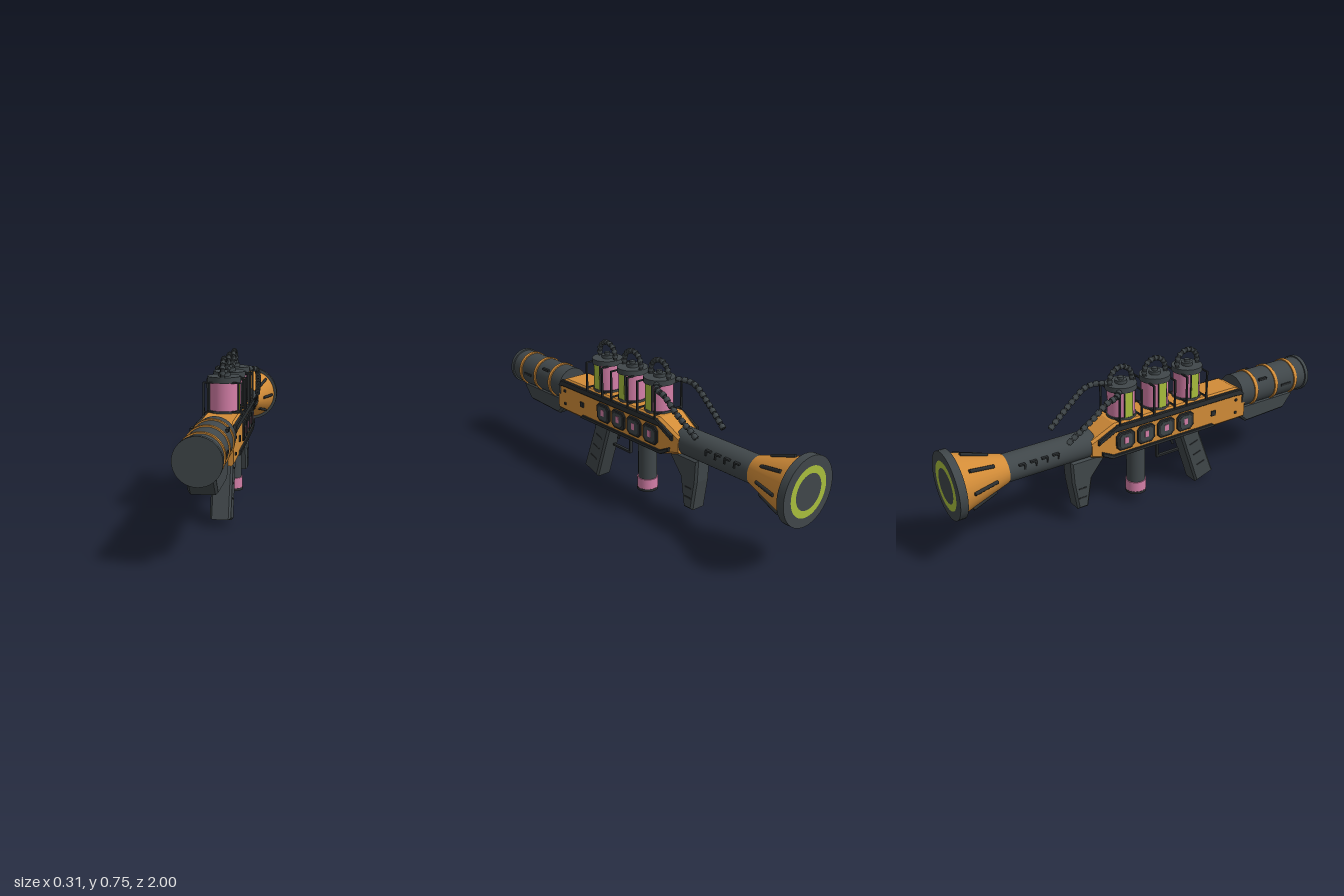
import * as THREE from 'three';

const mat = (name, color, side = THREE.FrontSide) => {
  const m = new THREE.MeshStandardMaterial({ color, side });
  m.name = name;
  return m;
};

export function createModel() {
  const root = new THREE.Group();
  root.name = 'launcher';
  const orange = mat('orange paint', 0xd28c38);
  const dark = mat('gunmetal', 0x40474a);
  const black = mat('black rubber', 0x2a2e30);
  const pink = mat('pink fluid', 0xd57fa8);
  const green = mat('lime', 0xa9bf3d);

  const add = (name, geo, m, x = 0, y = 0, z = 0, parent = root) => {
    const mesh = new THREE.Mesh(geo, m);
    mesh.name = name;
    mesh.position.set(x, y, z);
    parent.add(mesh);
    return mesh;
  };
  const box = (name, m, w, h, d, x, y, z, parent) =>
    add(name, new THREE.BoxGeometry(w, h, d), m, x, y, z, parent);
  const V = (x, y, z) => new THREE.Vector3(x, y, z);
  // cylinder along z; rFront faces +z
  const barrel = (name, m, rFront, rBack, z0, z1, y) =>
    add(name, new THREE.CylinderGeometry(rFront, rBack, Math.abs(z1 - z0), 40).rotateX(Math.PI / 2), m, 0, y, (z0 + z1) / 2);
  // [z, y] outline extruded across x, with bevelled edges
  const prism = (name, m, pts, width, x = 0, bevel = 0) => {
    const shape = new THREE.Shape(pts.map(p => new THREE.Vector2(p[0], p[1])));
    const depth = width - 2 * bevel;
    const geo = new THREE.ExtrudeGeometry(shape, {
      depth, bevelEnabled: bevel > 0, bevelSize: bevel, bevelOffset: -bevel, bevelThickness: bevel, bevelSegments: 1,
    });
    geo.translate(0, 0, -depth / 2).rotateY(-Math.PI / 2);
    return add(name, geo, m, x);
  };
  const tube = (name, m, pts, r, parent = root, closed = false) =>
    add(name, new THREE.TubeGeometry(new THREE.CatmullRomCurve3(pts, closed), 32, r, 8, closed), m, 0, 0, 0, parent);
  // straight round rod between two points
  const rod = (name, m, a, b, r, parent) => {
    const mesh = add(name, new THREE.CylinderGeometry(r, r, a.distanceTo(b), 8), m, 0, 0, 0, parent);
    mesh.position.copy(a).lerp(b, 0.5);
    mesh.quaternion.setFromUnitVectors(V(0, 1, 0), b.clone().sub(a).normalize());
    return mesh;
  };
  // ribs strung along a hose
  const ribs = (pts, n, r, len, parent = root) => {
    const c = new THREE.CatmullRomCurve3(pts);
    for (let i = 0; i < n; i++) {
      const p = c.getPointAt((i + 0.5) / n), t = c.getTangentAt((i + 0.5) / n).multiplyScalar(len / 2);
      rod('hoseRib', dark, p.clone().sub(t), p.clone().add(t), r, parent);
    }
  };

  // main body: chamfered sections lofted along z
  const ring = ([z, w, y0, y1, c]) => [
    V(w, y0 + c, z), V(w, y1 - c, z), V(w - c, y1, z), V(c - w, y1, z),
    V(-w, y1 - c, z), V(-w, y0 + c, z), V(c - w, y0, z), V(w - c, y0, z)];
  const rings = [[0.57, 0.08, 0.32, 0.465, 0.008], [0.51, 0.08, 0.315, 0.495, 0.012],
    [-0.21, 0.08, 0.315, 0.495, 0.012], [-0.325, 0.066, 0.345, 0.43, 0.012]].map(ring);
  const tri = [];
  for (let s = 0; s < 3; s++) for (let i = 0; i < 8; i++) {
    const a = rings[s][i], b = rings[s][(i + 1) % 8], c = rings[s + 1][i], d = rings[s + 1][(i + 1) % 8];
    tri.push(a, c, b, b, c, d);
  }
  for (let i = 1; i < 7; i++) tri.push(rings[0][0], rings[0][i], rings[0][i + 1], rings[3][0], rings[3][i + 1], rings[3][i]);
  const bodyGeo = new THREE.BufferGeometry().setFromPoints(tri);
  bodyGeo.computeVertexNormals();
  add('body', bodyGeo, orange);

  // front barrel with orange bands
  const FY = 0.438;
  barrel('frontBarrel', dark, 0.088, 0.088, 0.55, 0.99, FY);
  barrel('muzzleCap', dark, 0.095, 0.095, 0.98, 1, FY);
  for (const z of [0.64, 0.775, 0.91]) barrel('barrelBand', orange, 0.094, 0.094, z - 0.009, z + 0.009, FY);
  for (const s of [-1, 1]) {
    box('barrelCatch', black, 0.012, 0.012, 0.065, s * 0.086, FY, 0.845);
    box('barrelCatch', black, 0.012, 0.012, 0.05, s * 0.072, FY + 0.06, 0.69);
  }
  prism('underBarrel', dark, [[0.93, 0.35], [0.87, 0.28], [0.61, 0.27], [0.565, 0.31], [0.565, 0.37], [0.93, 0.37]], 0.116, 0, 0.01);

  // rear tube and flared bell
  const RY = 0.395;
  barrel('rearTube', dark, 0.065, 0.065, -0.3, -0.75, RY);
  barrel('bell', orange, 0.067, 0.14, -0.735, -0.97, RY);
  barrel('bellRim', dark, 0.155, 0.155, -0.965, -1, RY);
  add('exhaustRing', new THREE.RingGeometry(0.08, 0.112, 48).rotateY(Math.PI), green, 0, RY, -1.001);
  for (let i = 0; i < 8; i++) {
    const a = i * Math.PI / 4, u = V(Math.cos(a), Math.sin(a), 0);
    const p0 = u.clone().multiplyScalar(0.09).add(V(0, RY, -0.805));
    const p1 = u.clone().multiplyScalar(0.13).add(V(0, RY, -0.925));
    rod('bellRib', black, p0, p1, 0.008);
  }

  // sides, mirrored
  const hosePts = s => [V(s * 0.06, 0.64, -0.17), V(s * 0.095, 0.633, -0.215), V(s * 0.1, 0.62, -0.265),
    V(s * 0.1, 0.565, -0.335), V(s * 0.085, 0.47, -0.46)];
  for (const s of [-1, 1]) {
    const x = s * 0.081;
    prism('upperRail', black, [[0.565, 0.45], [0.53, 0.487], [-0.2, 0.487], [-0.3, 0.435], [-0.3, 0.41], [-0.21, 0.455], [0.5, 0.455]], 0.018, x, 0.004);
    prism('lowerRail', black, [[0.38, 0.322], [0.36, 0.34], [-0.22, 0.34], [-0.28, 0.37], [-0.28, 0.35], [-0.23, 0.322]], 0.016, x, 0.003);
    for (let i = 0; i < 4; i++) {
      const z = 0.19 - i * 0.115, w = 0.05, h = 0.047, c = 0.018;
      const oct = [[w, h - c], [w - c, h], [c - w, h], [-w, h - c], [-w, c - h], [c - w, -h], [w - c, -h], [w, c - h]];
      prism('sidePanel', black, oct.map(p => [z + p[0], 0.4 + p[1]]), 0.016, x, 0.004);
      const inner = oct.map(p => [z + p[0] * 0.68, 0.4 + p[1] * 0.72]);
      prism('panelInset', dark, inner, 0.02, x);
      box('panelLight', pink, 0.024, 0.032, 0.022, x, 0.402, z);
    }
    box('sideButton', black, 0.012, 0.026, 0.026, x, 0.395, 0.365);
    for (const y of [0.36, 0.43]) box('bolt', black, 0.01, 0.012, 0.012, x, y, 0.51);
    // vents on the rear tube
    for (let i = 0; i < 4; i++) {
      box('ventTop', black, 0.014, 0.008, 0.03, s * 0.062, 0.424, -0.51 - i * 0.055);
      box('ventSide', black, 0.014, 0.026, 0.008, s * 0.062, 0.412, -0.497 - i * 0.055);
    }
    // rear feed hose
    tube('feedHose', black, hosePts(s), 0.009);
    ribs(hosePts(s), 12, 0.014, 0.02);
  }

  // three fluid canisters
  [0.255, 0.065, -0.125].forEach(z => {
    const can = new THREE.Group();
    can.name = 'canister';
    can.position.z = z;
    root.add(can);
    const disc = (name, m, r, y0, y1) => add(name, new THREE.CylinderGeometry(r, r, y1 - y0, 32), m, 0, (y0 + y1) / 2, 0, can);
    disc('canisterBase', dark, 0.072, 0.485, 0.505);
    disc('fluid', pink, 0.066, 0.5, 0.635);
    disc('canisterLid', dark, 0.075, 0.63, 0.656);
    disc('lidStep', dark, 0.028, 0.655, 0.672);
    disc('lidNozzle', dark, 0.014, 0.67, 0.685);
    // arched hose from front to back of the lid
    const arch = [];
    for (let i = 0; i <= 8; i++) {
      const a = i * Math.PI / 8;
      arch.push(V(0, 0.672 + 0.06 * Math.sin(a), 0.06 * Math.cos(a)));
    }
    arch.unshift(V(0, 0.64, 0.06));
    arch.push(V(0, 0.64, -0.06));
    tube('lidHose', black, arch, 0.01, can);
    ribs(arch, 11, 0.0135, 0.012, can);
    for (const s of [-1, 1]) {
      // level strip and guard frame
      box('levelStrip', green, 0.008, 0.125, 0.038, s * 0.065, 0.567, 0, can);
      for (const e of [-1, 1]) {
        box('levelEdge', black, 0.008, 0.125, 0.004, s * 0.0645, 0.567, e * 0.021, can);
        box('guardPost', black, 0.008, 0.15, 0.008, s * 0.084, 0.56, e * 0.06, can);
        box('guardArm', black, 0.05, 0.007, 0.007, s * 0.062, 0.632, e * 0.06, can);
        box('guardFoot', black, 0.05, 0.007, 0.007, s * 0.062, 0.502, e * 0.06, can);
      }
    }
  });

  // main grip with side grooves
  prism('grip', dark, [[0.315, 0.33], [0.195, 0.33], [0.2, 0.29], [0.3, 0], [0.41, 0.035], [0.315, 0.28]], 0.094, 0, 0.01);
  for (const s of [-1, 1]) for (let i = 0; i < 3; i++) {
    const groove = box('gripGroove', black, 0.006, 0.007, 0.05, s * 0.046, 0.11 + i * 0.065, 0.325 - i * 0.025);
    groove.rotation.x = -0.3;
  }
  // trigger and guard
  box('guardBottom', black, 0.016, 0.01, 0.135, 0, 0.203, 0.145);
  box('guardFront', black, 0.016, 0.12, 0.01, 0, 0.26, 0.082);
  rod('trigger', black, V(0, 0.32, 0.15), V(0, 0.245, 0.178), 0.007);

  // vertical fore handle
  const handle = (name, m, r, y0, y1) =>
    add(name, new THREE.CylinderGeometry(r, r, y1 - y0, 32), m, 0, (y0 + y1) / 2, -0.045);
  handle('handle', dark, 0.046, 0.11, 0.33);
  handle('handleBand', pink, 0.051, 0.066, 0.118);
  handle('handleCap', black, 0.052, 0.054, 0.067);

  // rear foot
  prism('rearFoot', dark, [[-0.24, 0.34], [-0.425, 0.34], [-0.42, 0.23], [-0.397, 0.08], [-0.34, 0.08], [-0.315, 0.23], [-0.245, 0.315]], 0.088, 0, 0.01);
  for (const s of [-1, 1]) for (const y of [0.14, 0.19])
    box('footGroove', black, 0.006, 0.007, 0.04, s * 0.043, y, -0.37);

  return root;
}
